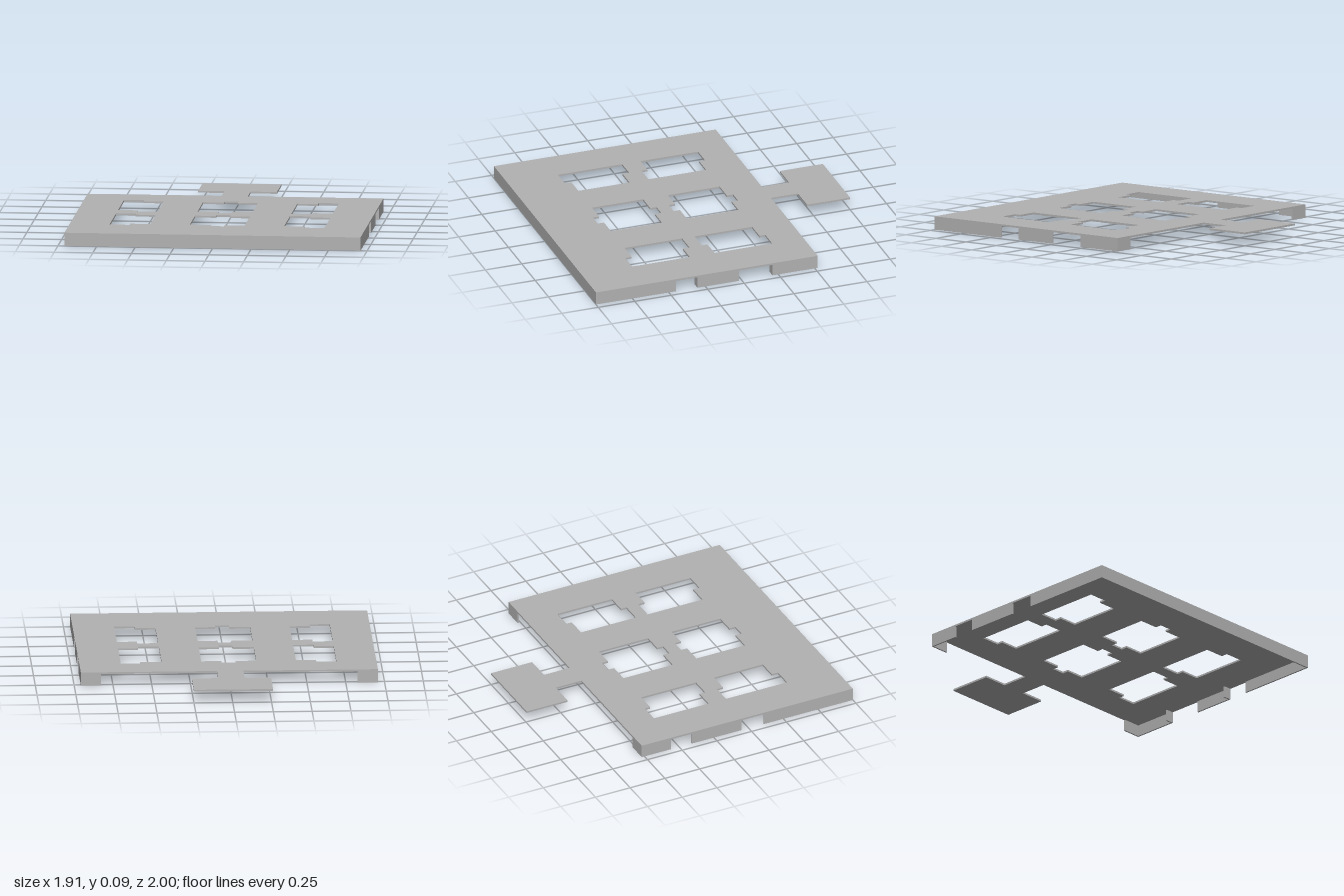
import * as THREE from 'three';

const TOP = 0.087, PLATE = 0.012, WALL = 0.01;
const HALF = 0.957, FRONT = 1, BACK = -0.52;

export function createModel() {
  const group = new THREE.Group();
  const grey = new THREE.MeshStandardMaterial({ color: 0xb2b2b2 });
  grey.name = 'plain grey';

  const add = (name, geometry) => {
    const mesh = new THREE.Mesh(geometry, grey);
    mesh.name = name;
    group.add(mesh);
    return mesh;
  };
  const toPoints = (list) => list.map(([x, z]) => new THREE.Vector2(x, z));

  // Flat plate with a narrow neck and tab at the back, drawn in x and z
  const outline = new THREE.Shape(toPoints([
    [-HALF, FRONT], [-HALF, BACK], [-0.09, BACK], [-0.09, -0.705], [-0.26, -0.705], [-0.26, -1],
    [0.25, -1], [0.25, -0.705], [0.08, -0.705], [0.08, BACK], [HALF, BACK], [HALF, FRONT],
  ]));

  // A stepped window: columns of [x0, x1, zBack, zFront] traced as one loop
  const addWindow = (columns) => {
    const back = columns.flatMap(([x0, x1, zb]) => [[x0, zb], [x1, zb]]);
    const front = columns.flatMap(([x0, x1, , zf]) => [[x0, zf], [x1, zf]]).reverse();
    outline.holes.push(new THREE.Path(toPoints([...back, ...front])));
  };
  addWindow([[-0.70, -0.57, -0.305, 0.09], [-0.57, -0.44, -0.265, 0.13]]);
  addWindow([[-0.70, -0.57, 0.215, 0.655], [-0.57, -0.44, 0.26, 0.61]]);
  addWindow([[0.425, 0.56, -0.265, 0.13], [0.56, 0.69, -0.305, 0.09]]);
  addWindow([[0.425, 0.56, 0.215, 0.61], [0.56, 0.69, 0.26, 0.655]]);
  for (const [z0, z1] of [[-0.265, 0.09], [0.26, 0.61]]) {
    addWindow([[-0.185, -0.05, z0, z1], [-0.05, 0.04, z0 - 0.043, z1 + 0.043], [0.04, 0.17, z0, z1]]);
  }

  const plate = new THREE.ExtrudeGeometry(outline, { depth: PLATE, bevelEnabled: false });
  plate.rotateX(Math.PI / 2);
  add('topPlate', plate).position.y = TOP;

  // Thin walls hanging from the plate to the ground
  const height = TOP - PLATE;
  const addWall = (name, x0, x1, z0, z1) => {
    add(name, new THREE.BoxGeometry(x1 - x0, height, z1 - z0))
      .position.set((x0 + x1) / 2, height / 2, (z0 + z1) / 2);
  };
  addWall('frontWall', -HALF, HALF, FRONT - WALL, FRONT);
  for (const [z0, z1] of [[0.45, FRONT], [0.02, 0.305], [BACK, -0.21]]) {
    addWall('leftWall', HALF - WALL, HALF, z0, z1);
  }
  for (const [z0, z1] of [[0.36, FRONT], [-0.16, 0.20], [BACK, -0.31]]) {
    addWall('rightWall', -HALF, -HALF + WALL, z0, z1);
  }
  addWall('backCornerLeft', HALF - 0.13, HALF, BACK, BACK + WALL);
  addWall('backCornerRight', -HALF, -HALF + 0.13, BACK, BACK + WALL);

  // Short returns beside the openings in the left wall
  for (const z of [0.305, -0.21]) addWall('openingReturn', HALF - 0.055, HALF - WALL, z - WALL, z);

  return group;
}
